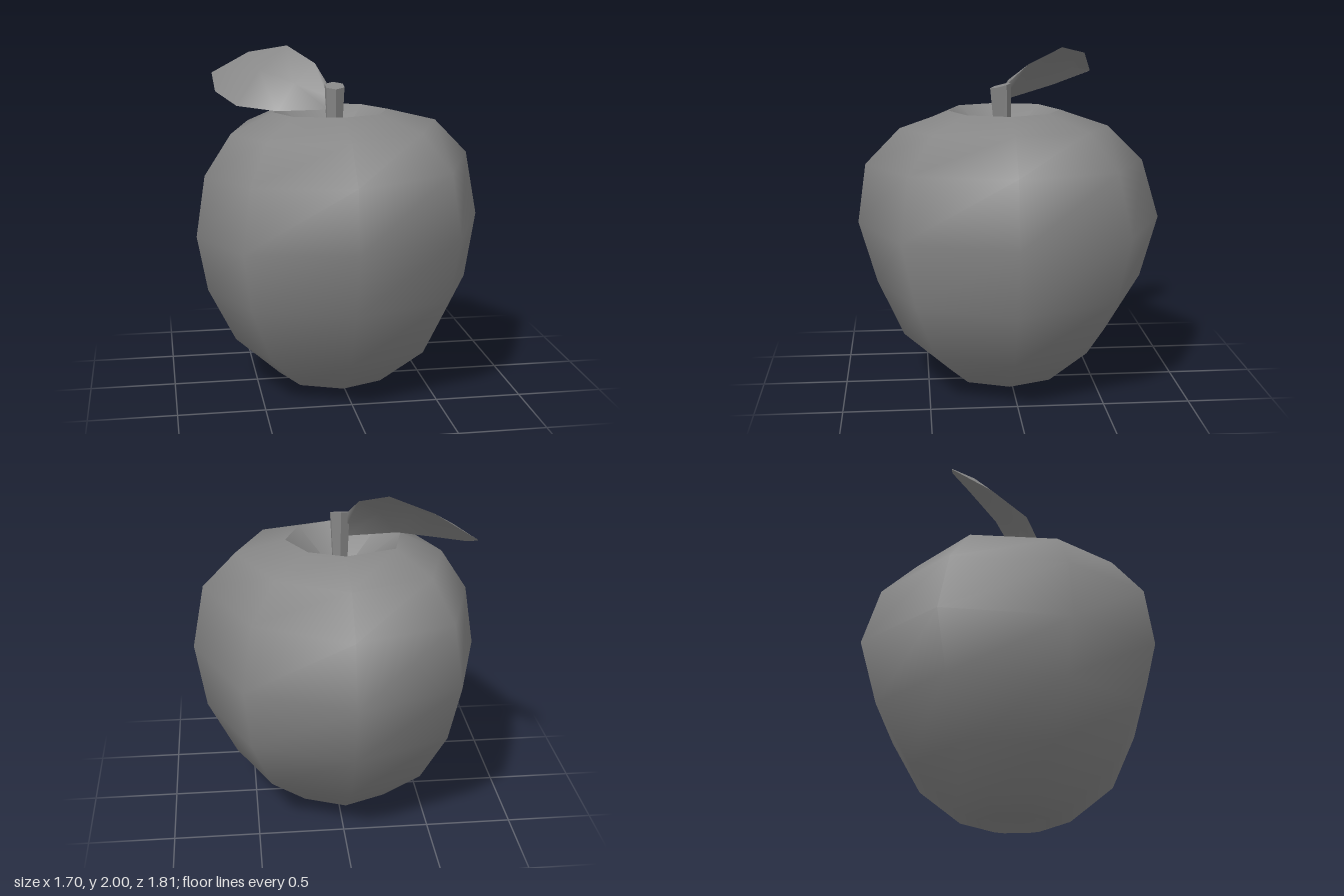
import * as THREE from 'three';
import { mergeVertices } from 'three/addons/utils/BufferGeometryUtils.js';

const CX = -0.03, CZ = 0.03, SIDES = 8;

// Small x, z irregularities of each side, growing from the base upward
const NUDGE = [[0, -0.01], [0, 0], [0, 0], [-0.015, 0.025], [0, 0.05], [-0.04, 0.005], [0, 0], [-0.02, -0.005]];

// Ring of points: reaches toward +x, -x, +z, -z, with heights on the +x, -x and z sides
function ring([px, nx, pz, nz, yp, yn, yz]) {
  return NUDGE.map(([dx, dz], i) => {
    const a = (i / SIDES) * Math.PI * 2;
    const c = Math.cos(a), s = Math.sin(a), k = Math.min(1, yz);
    const x = CX + c * (c > 0 ? px - CX : CX - nx) + dx * k;
    const z = CZ + s * (s > 0 ? pz - CZ : CZ - nz) + dz * k;
    const y = yz + (c > 0 ? yp - yz : yn - yz) * c * c;
    return [x, y, z];
  });
}

// Skin between cross-sections; closed sections wrap round
function loft(rows, closed = true) {
  const n = rows[0].length, index = [];
  for (let r = 0; r < rows.length - 1; r++) {
    for (let i = 0; i < (closed ? n : n - 1); i++) {
      const j = (i + 1) % n;
      const a = r * n + i, b = r * n + j, c = a + n, d = b + n;
      index.push(a, c, b, b, c, d);
    }
  }
  const g = new THREE.BufferGeometry();
  g.setAttribute('position', new THREE.Float32BufferAttribute(rows.flat(2), 3));
  g.setIndex(index);
  g.computeVertexNormals();
  return g;
}

export function createModel() {
  const group = new THREE.Group();
  const grey = new THREE.MeshStandardMaterial({ color: 0x868686 });
  const thin = new THREE.MeshStandardMaterial({ color: 0x868686, side: THREE.DoubleSide });
  const add = (name, geometry, material = grey) => {
    const mesh = new THREE.Mesh(geometry, material);
    mesh.name = name;
    group.add(mesh);
  };

  // Fruit skin, bottom to top
  const skin = [
    [0.15, -0.22, 0.22, -0.18, 0, 0, 0],
    [0.31, -0.37, 0.37, -0.32, 0.05, 0.05, 0.05],
    [0.61, -0.63, 0.645, -0.59, 0.28, 0.28, 0.285],
    [0.78, -0.79, 0.80, -0.80, 0.61, 0.60, 0.625],
    [0.845, -0.85, 0.905, -0.905, 1.0, 0.93, 0.99],
    [0.775, -0.795, 0.855, -0.80, 1.38, 1.29, 1.34],
    [0.58, -0.64, 0.65, -0.59, 1.58, 1.53, 1.55],
    [0.29, -0.39, 0.36, -0.30, 1.65, 1.65, 1.65],
  ].map(ring);
  add('fruitSkin', loft(skin));

  // Hollows at both ends, separate so their rims stay sharp
  const centre = y => Array.from({ length: SIDES }, () => [CX, y, CZ]);
  add('topHollow', loft([skin[7], centre(1.4)]));
  const bottom = loft([centre(0.1), skin[0]]);
  bottom.deleteAttribute('normal');
  const smoothBottom = mergeVertices(bottom);
  smoothBottom.computeVertexNormals();
  add('bottomHollow', smoothBottom);

  // Stem: six sides, flared and leaning slightly forward, with a slanted end
  const stem = new THREE.CylinderGeometry(0.062, 0.042, 0.42, 6).toNonIndexed();
  const p = stem.attributes.position;
  for (let i = 0; i < p.count; i++) {
    const t = (p.getY(i) + 0.21) / 0.42;
    const z = p.getZ(i);
    p.setXYZ(i, p.getX(i) + CX, 1.375 + t * (0.42 - z * 0.25), z + 0.035 + 0.018 * t);
  }
  stem.computeVertexNormals();
  add('stem', stem);

  // Leaf: matching points on its upper and lower edges, with a slight bulge between
  const edges = [
    [[-0.07, 1.81, 0.0], [-0.07, 1.655, 0.04]],
    [[-0.12, 1.91, -0.12], [-0.37, 1.655, 0.07]],
    [[-0.26, 2.0, -0.34], [-0.59, 1.67, -0.09]],
    [[-0.48, 1.95, -0.51], [-0.70, 1.73, -0.34]],
    [[-0.705, 1.82, -0.58], [-0.705, 1.815, -0.575]],
  ];
  const bulge = [0, 0.03, 0.04, 0.025, 0];
  const out = [-0.42, 0.77, 0.47];
  const rows = edges.map(([u, l], i) =>
    [u, u.map((v, k) => (v + l[k]) / 2 + out[k] * bulge[i]), l]);
  add('leaf', loft(rows, false), thin);

  return group;
}
